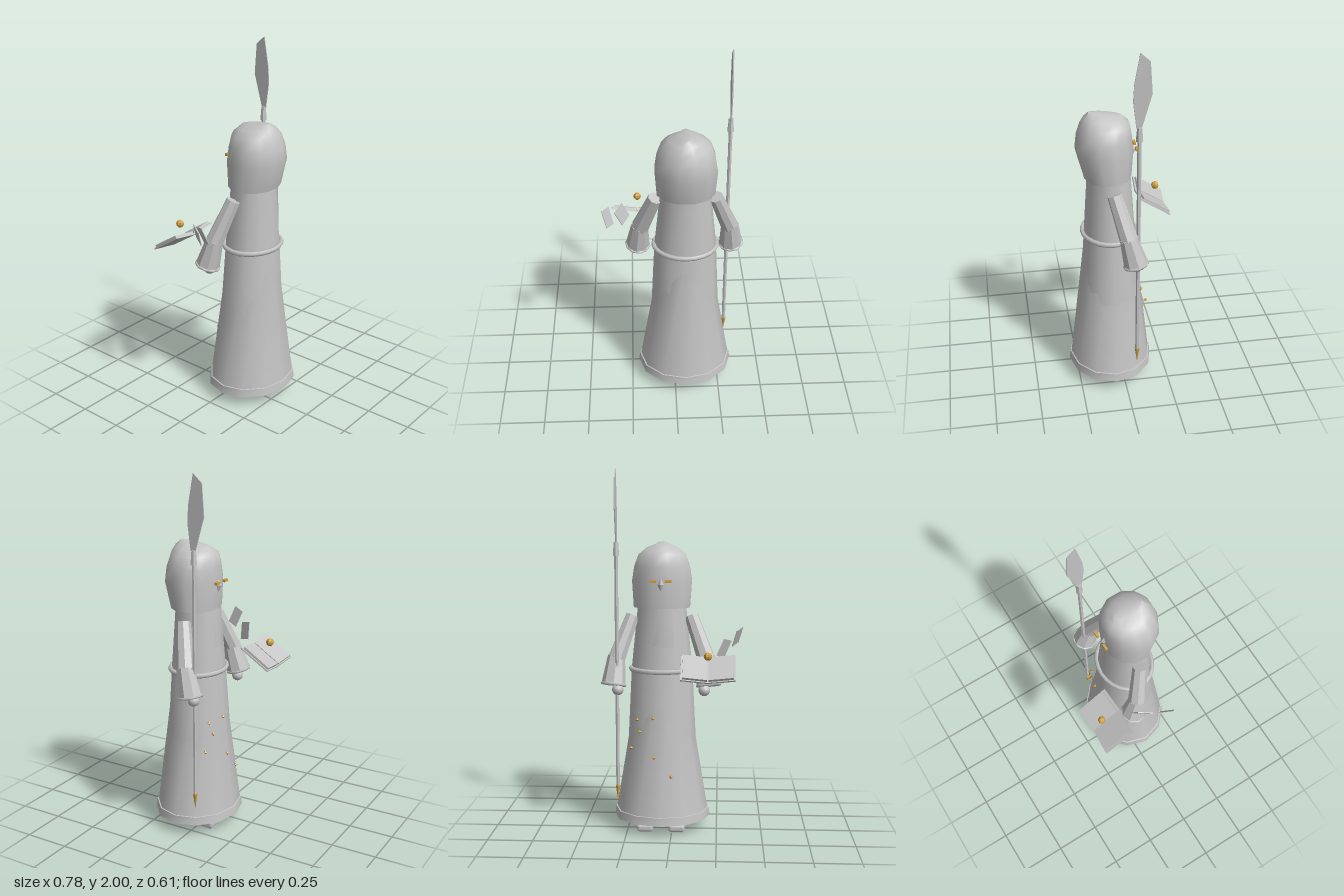
import * as THREE from 'three';
import { toCreasedNormals } from 'three/addons/utils/BufferGeometryUtils.js';
import { RoundedBoxGeometry } from 'three/addons/geometries/RoundedBoxGeometry.js';

const grey = new THREE.MeshStandardMaterial({ color: 0xc4c4c4 });
grey.name = 'stoneGrey';
const gold = new THREE.MeshStandardMaterial({ color: 0xd0a040 });
gold.name = 'gold';
const V = (x, y, z) => new THREE.Vector3(x, y, z);
const CX = 0.06; // the figure's own centre line

function part(parent, name, geo, mat, x = 0, y = 0, z = 0) {
  const mesh = new THREE.Mesh(geo, mat);
  mesh.name = name;
  mesh.position.set(x, y, z);
  parent.add(mesh);
  return mesh;
}

// Lofts twelve-sided oval rings [y, half width, zFront, zBack, rise to the back]
function loft(rings, turn = 0, crease = 0.9) {
  const n = 12, pos = [], index = [];
  for (const [y, rx, z0, z1, rise = 0] of rings) {
    for (let j = 0; j < n; j++) {
      const t = (j / n) * Math.PI * 2 + turn;
      pos.push(CX + rx * Math.sin(t), y + rise * Math.cos(t), (z0 + z1) / 2 + ((z1 - z0) / 2) * Math.cos(t));
    }
  }
  for (let i = 0; i < rings.length - 1; i++) {
    for (let j = 0; j < n; j++) {
      const a = i * n + j, b = i * n + (j + 1) % n;
      index.push(a, b, b + n, a, b + n, a + n);
    }
  }
  const geo = new THREE.BufferGeometry();
  geo.setAttribute('position', new THREE.Float32BufferAttribute(pos, 3));
  geo.setIndex(index);
  return toCreasedNormals(geo, crease);
}

// Flat-sided tapered tube from a to b
function limb(parent, name, a, b, ra, rb, sides = 8) {
  const geo = toCreasedNormals(new THREE.CylinderGeometry(rb, ra, a.distanceTo(b), sides), 0.3);
  const mesh = part(parent, name, geo, grey);
  mesh.position.copy(a).add(b).multiplyScalar(0.5);
  mesh.quaternion.setFromUnitVectors(V(0, 1, 0), b.clone().sub(a).normalize());
  return mesh;
}

// Thin loose sheet with four corners
function sheet(parent, corners) {
  const [a, b, c, d] = corners.map((p) => V(...p));
  const n = b.clone().sub(a).cross(d.clone().sub(a)).normalize().multiplyScalar(0.002);
  const geo = new THREE.BoxGeometry(1, 1, 1);
  const p = geo.attributes.position;
  for (let i = 0; i < p.count; i++) {
    const u = p.getX(i) + 0.5, v = p.getY(i) + 0.5, s = Math.sign(p.getZ(i));
    const q = a.clone().addScaledVector(b.clone().sub(a), u).addScaledVector(d.clone().sub(a), v).addScaledVector(n, s);
    p.setXYZ(i, q.x, q.y, q.z);
  }
  geo.computeVertexNormals();
  part(parent, 'loosePage', geo, grey);
}

export function createModel() {
  const model = new THREE.Group();

  // Robe with hem
  part(model, 'robe', loft([
    [0.065, 0, 0.06, 0.06], [0.065, 0.27, -0.178, 0.298], [0.11, 0.264, -0.172, 0.292],
    [0.111, 0.257, -0.166, 0.286], [0.91, 0.122, -0.049, 0.169], [0.915, 0.122, -0.049, 0.169],
  ].map((r, i) => (i > 3 ? [r[0], 0.125, -0.075, 0.195] : r)), 0), grey);
  part(model, 'torso', loft([
    [0.9, 0.122, -0.072, 0.192], [1.05, 0.15, -0.072, 0.19], [1.27, 0.133, -0.055, 0.178],
  ]), grey);
  // Waist of the skirt under the belt
  part(model, 'waist', loft([[0.3, 0.2, -0.13, 0.24], [0.91, 0.17, -0.082, 0.2], [1.27, 0.133, -0.055, 0.178]]), grey);
  const belt = part(model, 'belt', new THREE.TorusGeometry(0.173, 0.014, 6, 24), grey, CX, 0.91, 0.06);
  belt.rotation.x = Math.PI / 2;
  belt.scale.y = 0.86;

  // Hood, leaning to a peak at the rear
  part(model, 'hood', loft([
    [1.253, 0, 0.07, 0.07], [1.253, 0.16, -0.06, 0.2], [1.4, 0.17, -0.07, 0.24], [1.48, 0.157, -0.062, 0.232],
    [1.545, 0.132, -0.052, 0.212], [1.575, 0.092, -0.03, 0.19, 0.01], [1.598, 0.035, -0.01, 0.168, 0.012],
    [1.6, 0, -0.01, 0.168, 0.012],
  ], Math.PI / 12), grey);

  // Face
  for (const s of [-1, 1]) {
    part(model, 'eye', new THREE.BoxGeometry(0.035, 0.014, 0.014), gold, CX + s * 0.041, 1.405, -0.083);
  }
  const nose = part(model, 'nose', toCreasedNormals(new THREE.OctahedronGeometry(0.025), 0.1), grey, CX, 1.385, -0.065);
  nose.scale.set(0.7, 1.5, 0.8);

  // Arms, cuffs, hands and shoes
  for (const s of [-1, 1]) {
    const at = (x, y, z) => V(CX + s * x, y, z);
    const arm = new THREE.Group();
    arm.name = s > 0 ? 'leftArm' : 'rightArm';
    model.add(arm);
    const elbow = at(0.247, 0.975, -0.01), cuff = at(0.262, 0.835, -0.045);
    limb(arm, 'upperSleeve', at(0.163, 1.205, 0.055), elbow, 0.039, 0.05);
    limb(arm, 'lowerSleeve', at(0.248, 0.99, -0.005), cuff, 0.047, 0.067);
    const rim = part(arm, 'cuff', new THREE.TorusGeometry(0.064, 0.008, 6, 10), grey);
    rim.position.copy(cuff);
    rim.quaternion.setFromUnitVectors(V(0, 0, 1), cuff.clone().sub(elbow).normalize());
    part(arm, 'hand', new THREE.SphereGeometry(0.032, 10, 8), grey, CX + s * 0.238, 0.806, -0.052);
    part(model, 'shoe', new RoundedBoxGeometry(0.09, 0.042, 0.16, 2, 0.015), grey, CX + s * 0.088, 0.027, -0.02);
    const sole = part(model, 'sole', new THREE.BoxGeometry(0.07, 0.012, 0.14), grey, CX + s * 0.088, 0.006, -0.02);
    sole.name = 'sole';
  }

  // Spear
  const spear = new THREE.Group();
  spear.name = 'spear';
  spear.position.set(0.3, 0, -0.06);
  model.add(spear);
  limb(spear, 'shaft', V(0, 0.25, 0), V(0, 1.58, 0), 0.011, 0.011, 6);
  limb(spear, 'socket', V(0, 1.54, 0), V(0, 1.615, 0), 0.019, 0.013, 6);
  const spike = part(spear, 'spike', toCreasedNormals(new THREE.ConeGeometry(0.014, 0.09, 6), 0.3), gold, 0, 0.22, 0);
  spike.rotation.x = Math.PI;
  const outline = [[0, 2], [0.05, 1.955], [0.062, 1.79], [0.01, 1.61], [-0.016, 1.61], [-0.034, 1.75], [-0.029, 1.84]];
  const blade = part(spear, 'blade', new THREE.ExtrudeGeometry(
    new THREE.Shape(outline.map((p) => new THREE.Vector2(...p))), { depth: 0.006, bevelEnabled: false }), grey, 0.003, 0, 0);
  blade.rotation.y = Math.PI / 2;
  blade.position.x = -0.003;

  // Open book, tipped away from the body
  const book = new THREE.Group();
  book.name = 'book';
  book.position.set(-0.2, 0.945, -0.212);
  book.rotation.x = -0.575;
  model.add(book);
  for (const s of [-1, 1]) {
    const half = new THREE.Group();
    half.name = 'bookHalf';
    half.rotation.z = s * 0.13;
    book.add(half);
    part(half, 'cover', new THREE.BoxGeometry(0.146, 0.008, 0.198), grey, s * 0.073, 0, 0);
    part(half, 'pages', new THREE.BoxGeometry(0.132, 0.014, 0.178), grey, s * 0.071, 0.01, -0.003);
  }
  part(book, 'spine', new THREE.BoxGeometry(0.014, 0.01, 0.198), grey, 0, 0, 0);
  part(model, 'orb', toCreasedNormals(new THREE.SphereGeometry(0.022, 6, 6), 0.2), gold, -0.2, 1.025, -0.245);

  // Loose pages drifting beside the book
  sheet(model, [[-0.325, 1.075, 0], [-0.285, 1.095, -0.07], [-0.245, 1.005, -0.085], [-0.285, 0.985, -0.015]]);
  sheet(model, [[-0.39, 1.143, 0.08], [-0.355, 1.127, 0.015], [-0.325, 1.037, 0.045], [-0.365, 1.053, 0.11]]);

  // Gold sparks on the robe
  for (const p of [[0, 0.34, -0.145], [0.095, 0.445, -0.143], [0.1, 0.66, -0.118],
    [0.175, 0.58, -0.1], [0.19, 0.645, -0.083], [0.225, 0.485, -0.08]]) {
    part(model, 'spark', toCreasedNormals(new THREE.OctahedronGeometry(0.011), 0.1), gold, ...p);
  }
  return model;
}
